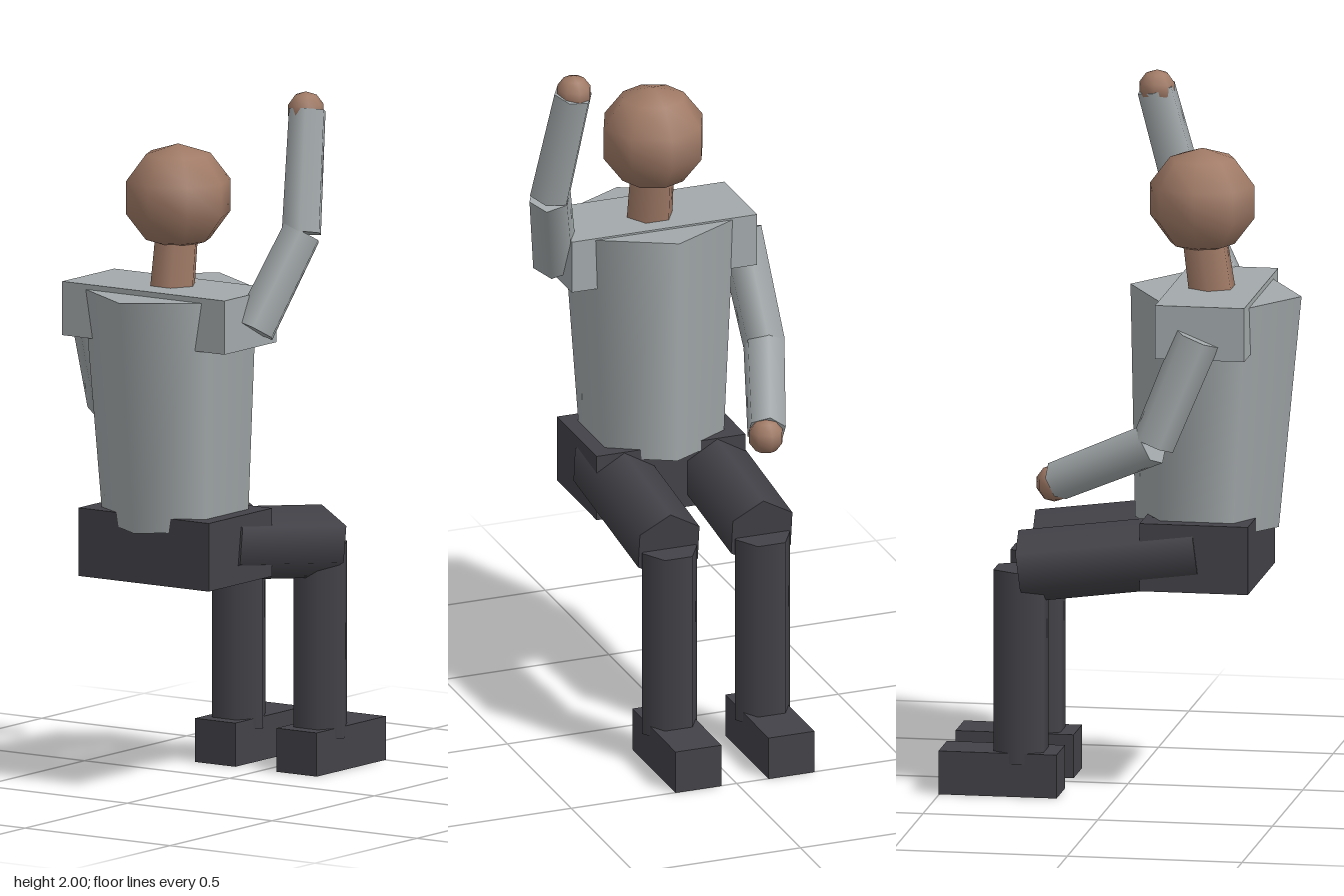
import * as THREE from 'three';

export function createModel() {
  const model = new THREE.Group();
  model.name = 'seatedFigure';

  const mat = (name, color) => {
    const m = new THREE.MeshStandardMaterial({ color });
    m.name = name;
    return m;
  };
  const skin = mat('skin', 0xa07a66);
  const shirt = mat('shirt', 0xa3a9ab);
  const trousers = mat('trousers', 0x434248);

  const add = (name, geometry, material, [x, y, z] = [0, 0, 0]) => {
    const mesh = new THREE.Mesh(geometry, material);
    mesh.name = name;
    mesh.position.set(x, y, z);
    model.add(mesh);
    return mesh;
  };

  // Smooth six-sided cylinder from point a to point b
  const limb = (name, a, b, ra, rb, material, twist = 0) => {
    const start = new THREE.Vector3(...a);
    const end = new THREE.Vector3(...b);
    const axis = end.clone().sub(start);
    const geo = new THREE.CylinderGeometry(rb, ra, axis.length(), 6, 1, false, twist);
    const mid = start.add(end).multiplyScalar(0.5);
    const mesh = add(name, geo, material, mid.toArray());
    mesh.quaternion.setFromUnitVectors(new THREE.Vector3(0, 1, 0), axis.normalize());
  };

  const box = (name, size, at, material) =>
    add(name, new THREE.BoxGeometry(...size), material, at);

  const ball = (name, radius, at) =>
    add(name, new THREE.SphereGeometry(radius, 8, 5), skin, at);

  // Body, facing +x
  limb('torso', [-0.23, 0.769, -0.024], [-0.256, 1.437, -0.024], 0.206, 0.245, shirt, Math.PI / 6);
  box('shoulders', [0.255, 0.154, 0.56], [-0.258, 1.37, -0.025], shirt);
  box('pelvis', [0.31, 0.195, 0.45], [-0.231, 0.707, -0.024], trousers);

  // Head and neck
  limb('neck', [-0.25, 1.4, -0.024], [-0.222, 1.6, -0.024], 0.07, 0.066, skin);
  ball('head', 0.151, [-0.217, 1.695, -0.024]).scale.set(1.04, 1, 1.04);

  // Legs and feet
  for (const [side, z] of [['near', 0.117], ['far', -0.164]]) {
    limb(side + 'Thigh', [-0.235, 0.718, z], [0.272, 0.652, z], 0.104, 0.104, trousers, Math.PI / 6);
    limb(side + 'Shin', [0.278, 0.647, z], [0.278, 0.095, z], 0.083, 0.083, trousers);
    box(side + 'Foot', [0.338, 0.125, 0.139], [0.333, 0.0625, z - 0.001], trousers);
  }

  // Arms: one raised, one resting forward
  const arms = [
    ['raised', [-0.25, 1.345, 0.26], [-0.113, 1.61, 0.328], [-0.03, 1.947, 0.29], [-0.033, 1.947, 0.287]],
    ['lowered', [-0.25, 1.355, -0.297], [-0.128, 1.052, -0.325], [0.165, 0.912, -0.22], [0.174, 0.905, -0.214]],
  ];
  for (const [side, shoulder, elbow, wrist, hand] of arms) {
    limb(side + 'UpperArm', shoulder, elbow, 0.066, 0.062, shirt);
    limb(side + 'Forearm', elbow, wrist, 0.061, 0.057, shirt);
    ball(side + 'Hand', 0.053, hand);
  }

  return model;
}
